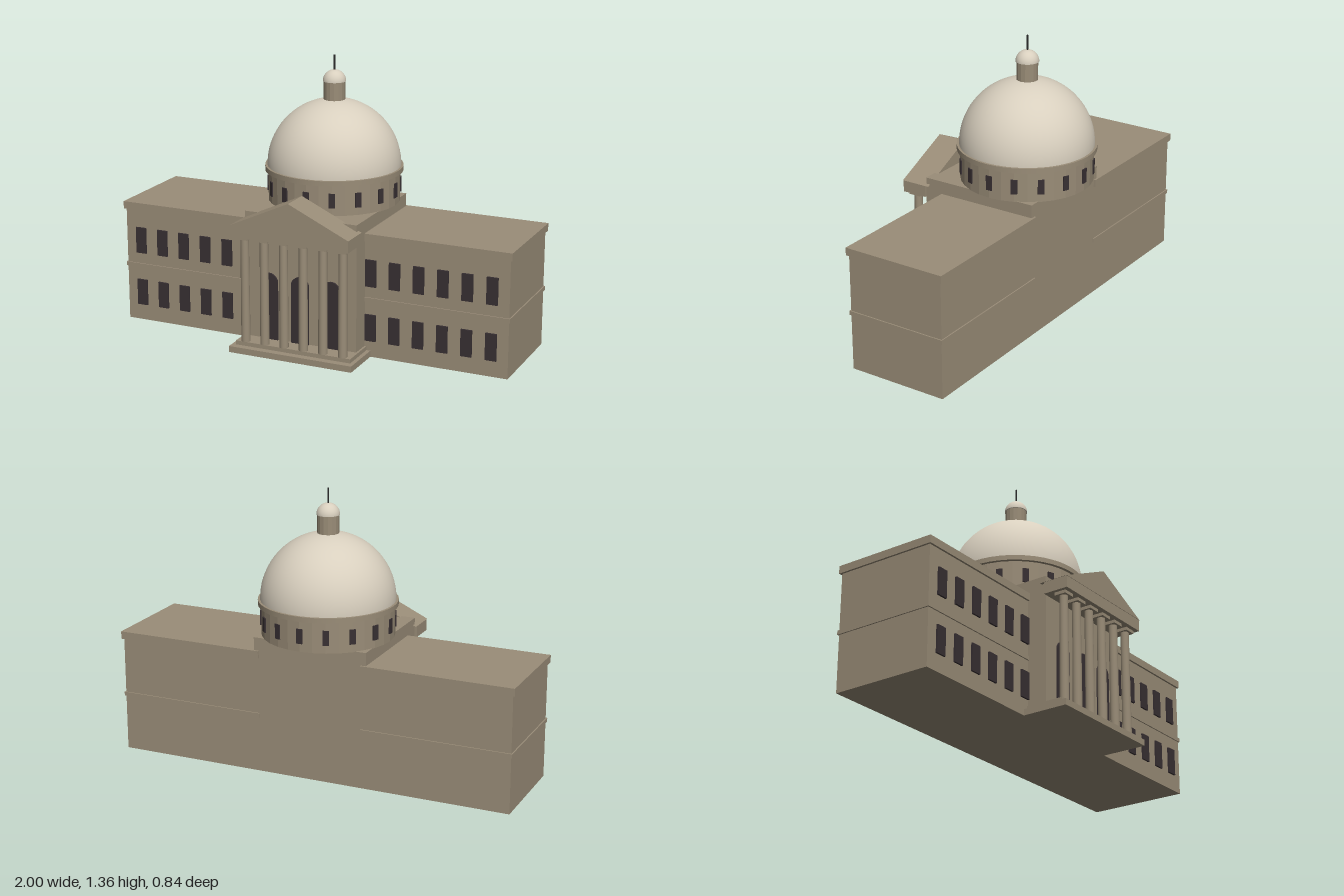
import * as THREE from 'three';

export function createModel() {
  const model = new THREE.Group();
  const material = (name, color, extra = {}) => {
    const m = new THREE.MeshStandardMaterial({ color, ...extra });
    m.name = name;
    return m;
  };
  const stone = material('stone', 0x9a8d78);
  const domeStone = material('pale dome stone', 0xd8cfbe);
  const glass = material('dark glass', 0x383033);
  const metal = material('spire metal', 0x2a2a2a);

  const add = (name, geometry, mat, x = 0, y = 0, z = 0, parent = model) => {
    const mesh = new THREE.Mesh(geometry, mat);
    mesh.name = name;
    mesh.position.set(x, y, z);
    parent.add(mesh);
    return mesh;
  };
  // Box given by its minimum and maximum on each axis
  const box = (name, [x0, x1], [y0, y1], [z0, z1], mat = stone, parent = model) =>
    add(name, new THREE.BoxGeometry(x1 - x0, y1 - y0, z1 - z0), mat,
      (x0 + x1) / 2, (y0 + y1) / 2, (z0 + z1) / 2, parent);
  // Flat-sided drum between two heights
  const drum = (name, r, y0, y1, sides, mat, z, parent = model, x = 0) => {
    const g = new THREE.CylinderGeometry(r, r, y1 - y0, sides).toNonIndexed();
    g.computeVertexNormals();
    return add(name, g, mat, x, (y0 + y1) / 2, z, parent);
  };

  // Central block
  box('centralBlock', [-0.285, 0.285], [0, 0.665], [-0.3, 0.293]);

  // Two wings, each with cornice, string course and two rows of windows
  for (const side of [1, -1]) {
    const wing = new THREE.Group();
    wing.name = side > 0 ? 'leftWing' : 'rightWing';
    model.add(wing);
    const span = (a, b) => (side > 0 ? [a, b] : [-b, -a]);
    box('wingWall', span(0.28, 0.99), [0, 0.565], [-0.3, 0.195], stone, wing);
    box('wingCornice', span(0.26, 1), [0.565, 0.602], [-0.31, 0.205], stone, wing);
    box('stringCourse', span(0.26, 0.996), [0.272, 0.292], [-0.306, 0.201], stone, wing);
    for (const y of [0.08, 0.347])
      for (let i = 0; i < 6; i++) {
        const x = 0.316 + i * 0.1185;
        box('wingWindow', span(x - 0.027, x + 0.027), [y, y + 0.13], [0.196, 0.205], glass, wing);
      }
  }

  // Portico: steps, columns, entablature and pediment
  const portico = new THREE.Group();
  portico.name = 'portico';
  model.add(portico);
  box('lowerStep', [-0.315, 0.315], [0, 0.03], [0.19, 0.418], stone, portico);
  box('upperStep', [-0.295, 0.295], [0.03, 0.05], [0.19, 0.384], stone, portico);
  for (let i = 0; i < 6; i++) {
    const x = -0.25 + i * 0.1;
    add('columnShaft', new THREE.CylinderGeometry(0.02, 0.022, 0.505, 16), stone, x, 0.3025, 0.367, portico);
    box('columnCapital', [x - 0.03, x + 0.03], [0.555, 0.572], [0.337, 0.397], stone, portico);
  }
  box('entablature', [-0.298, 0.298], [0.57, 0.627], [0.293, 0.418], stone, portico);
  const gable = new THREE.Shape([[-0.3, 0.627], [0.3, 0.627], [0, 0.765]].map(p => new THREE.Vector2(...p)));
  add('pediment', new THREE.ExtrudeGeometry(gable, { depth: 0.148, bevelEnabled: false }), stone, 0, 0, 0.272, portico);

  // Three arched doorways behind the columns
  const arch = new THREE.Shape();
  arch.moveTo(-0.045, 0.05);
  arch.lineTo(0.045, 0.05);
  arch.lineTo(0.045, 0.333);
  arch.absarc(0, 0.333, 0.045, 0, Math.PI, false);
  arch.closePath();
  const archGeometry = new THREE.ExtrudeGeometry(arch, { depth: 0.009, bevelEnabled: false, curveSegments: 12 });
  for (const x of [-0.16, 0, 0.16]) add('archedDoor', archGeometry, glass, x, 0, 0.293, portico);

  // Dome: drum with sixteen windows, ring, hemisphere, lantern and spire
  const dome = new THREE.Group();
  dome.name = 'domeAssembly';
  dome.position.z = -0.087;
  model.add(dome);
  drum('domeDrum', 0.315, 0.663, 0.812, 32, stone, 0, dome);
  for (let i = 0; i < 16; i++) {
    const a = (i * Math.PI) / 8;
    const pane = add('drumWindow', new THREE.BoxGeometry(0.03, 0.07, 0.009), glass,
      Math.sin(a) * 0.3155, 0.737, Math.cos(a) * 0.3155, dome);
    pane.rotation.y = a;
  }
  add('domeRing', new THREE.CylinderGeometry(0.33, 0.33, 0.024, 48), stone, 0, 0.822, 0, dome);
  const hemisphere = r => new THREE.SphereGeometry(r, 48, 20, 0, Math.PI * 2, 0, Math.PI / 2);
  add('domeShell', hemisphere(0.319), domeStone, 0, 0.833, 0, dome);
  drum('lantern', 0.051, 1.13, 1.236, 16, stone, 0, dome);
  add('lanternCap', hemisphere(0.055), domeStone, 0, 1.235, 0, dome);
  const capBase = add('lanternCapBase', new THREE.CircleGeometry(0.055, 48), domeStone, 0, 1.235, 0, dome);
  capBase.rotation.x = Math.PI / 2;
  add('spire', new THREE.CylinderGeometry(0.004, 0.004, 0.08, 8), metal, 0, 1.32, 0, dome);

  return model;
}
